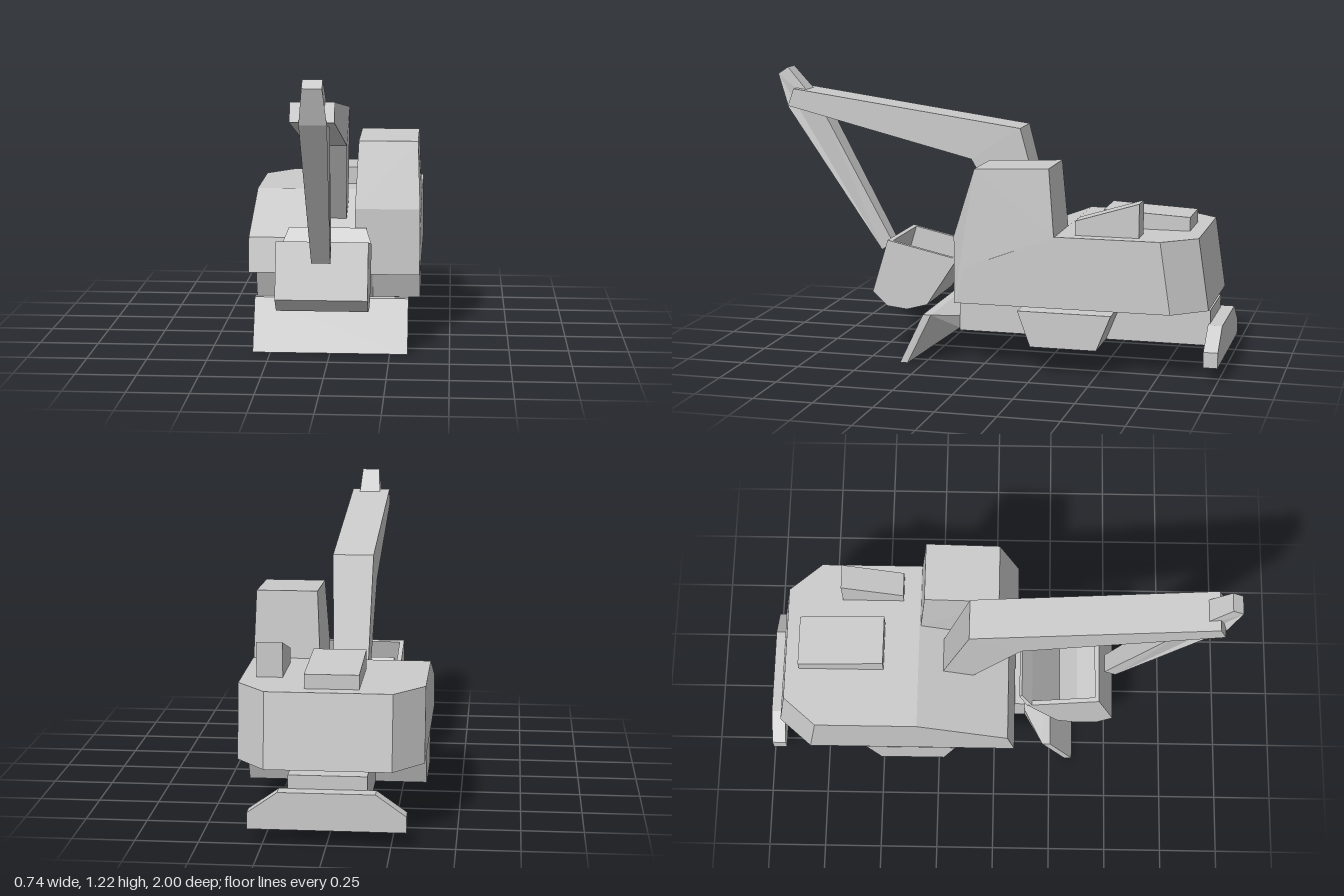
import * as THREE from 'three';
import { ConvexGeometry } from 'three/addons/geometries/ConvexGeometry.js';

const material = new THREE.MeshStandardMaterial({ color: 0xcccccc, flatShading: true });

function addMesh(parent, name, geometry) {
  const mesh = new THREE.Mesh(geometry, material);
  mesh.name = name;
  parent.add(mesh);
}

// Side profile of [z, y] points, widened along x around cx; half is a number or a rule of y
function slab(parent, name, profile, cx, half) {
  const shape = new THREE.Shape(profile.map(([z, y]) => new THREE.Vector2(z, y)));
  const geo = new THREE.ExtrudeGeometry(shape, { depth: 2, bevelEnabled: false });
  geo.translate(0, 0, -1).rotateY(-Math.PI / 2);
  const p = geo.attributes.position;
  for (let i = 0; i < p.count; i++) {
    const h = typeof half === 'function' ? half(p.getY(i)) : half;
    p.setX(i, cx + p.getX(i) * h);
  }
  geo.computeVertexNormals();
  addMesh(parent, name, geo);
}

// Convex solid from [x, y, z] corners mirrored across x = 0
function mirroredHull(parent, name, corners) {
  const pts = corners.flatMap(([x, y, z]) => [new THREE.Vector3(x, y, z), new THREE.Vector3(-x, y, z)]);
  addMesh(parent, name, new ConvexGeometry(pts));
}

export function createModel() {
  const model = new THREE.Group();
  model.name = 'excavator';

  // Undercarriage: beam, cross axle, rear stabiliser and front dozer blade
  const base = new THREE.Group();
  base.name = 'undercarriage';
  model.add(base);
  slab(base, 'chassisBeam', [[0.135, 0.115], [0.135, 0.265], [-0.945, 0.265], [-0.945, 0.115]], 0, 0.155);
  slab(base, 'crossAxle', [[-0.17, 0.265], [-0.565, 0.265], [-0.505, 0.115], [-0.225, 0.115]], 0, 0.365);
  mirroredHull(base, 'rearStabiliser', [-0.94, -1].flatMap(z => [
    [0.19, 0.21, z], [0.31, 0.125, z], [0.31, 0.06, z],
  ]));
  mirroredHull(base, 'dozerBlade', [
    [0.155, 0.125, 0.135], [0.155, 0.178, 0.135],
    [0.325, 0.215, 0.215], [0.325, 0.215, 0.25],
    [0.325, 0, 0.32], [0.325, 0, 0.353],
  ]);

  // Revolving body with a sloped front deck and cut rear corners
  const upper = new THREE.Group();
  upper.name = 'upperBody';
  model.add(upper);
  mirroredHull(upper, 'house', [
    [0.37, 0.285, 0.09], [0.37, 0.435, 0.06], [0.37, 0.585, -0.33],
    [0.37, 0.585, -0.765], [0.25, 0.585, -0.905],
    [0.37, 0.285, -0.81], [0.25, 0.285, -0.95],
  ]);
  slab(upper, 'cab', [
    [0.1, 0.285], [0.1, 0.57], [0.015, 0.852], [-0.3, 0.865], [-0.325, 0.58], [-0.325, 0.285],
  ], 0.23, y => (y > 0.8 ? 0.127 : 0.139));
  slab(upper, 'engineHood', [[-0.48, 0.57], [-0.48, 0.662], [-0.845, 0.643], [-0.845, 0.57]], -0.007, 0.108);
  slab(upper, 'exhaustBox', [[-0.402, 0.57], [-0.402, 0.645], [-0.668, 0.727], [-0.668, 0.57]], 0.258, 0.053);

  // Boom, stick and bucket
  const arm = new THREE.Group();
  arm.name = 'diggingArm';
  model.add(arm);
  slab(arm, 'boom', [
    [0.915, 1.125], [-0.105, 0.985], [-0.23, 0.52], [-0.1, 0.48], [0.11, 0.845], [0.942, 1.05],
  ], -0.029, y => (y < 0.6 ? 0.073 : 0.086));
  slab(arm, 'stick', [
    [0.955, 1.215], [1, 1.185], [0.95, 1.04], [0.53, 0.42], [0.48, 0.455], [0.79, 1.03],
  ], -0.025, y => (y > 1 && y < 1.1 ? 0.054 : 0.039));

  const bucket = new THREE.Group();
  bucket.name = 'bucket';
  arm.add(bucket);
  const outer = [[0.455, 0.495], [0.525, 0.265], [0.46, 0.205], [0.37, 0.195], [0.28, 0.22], [0.145, 0.427]];
  const inner = [[0.165, 0.431], [0.29, 0.237], [0.37, 0.215], [0.45, 0.225], [0.502, 0.272], [0.436, 0.491]];
  slab(bucket, 'bucketShell', [...outer, ...inner], -0.025, 0.17);
  for (const [name, x] of [['leftBucketSide', 0.155], ['rightBucketSide', -0.205]]) {
    slab(bucket, name, outer, x, 0.01);
  }
  slab(bucket, 'bucketLip', [[0.145, 0.42], [0.109, 0.475], [0.12, 0.492], [0.165, 0.431]], -0.025,
    y => (y > 0.45 ? 0.165 : 0.19));

  return model;
}
